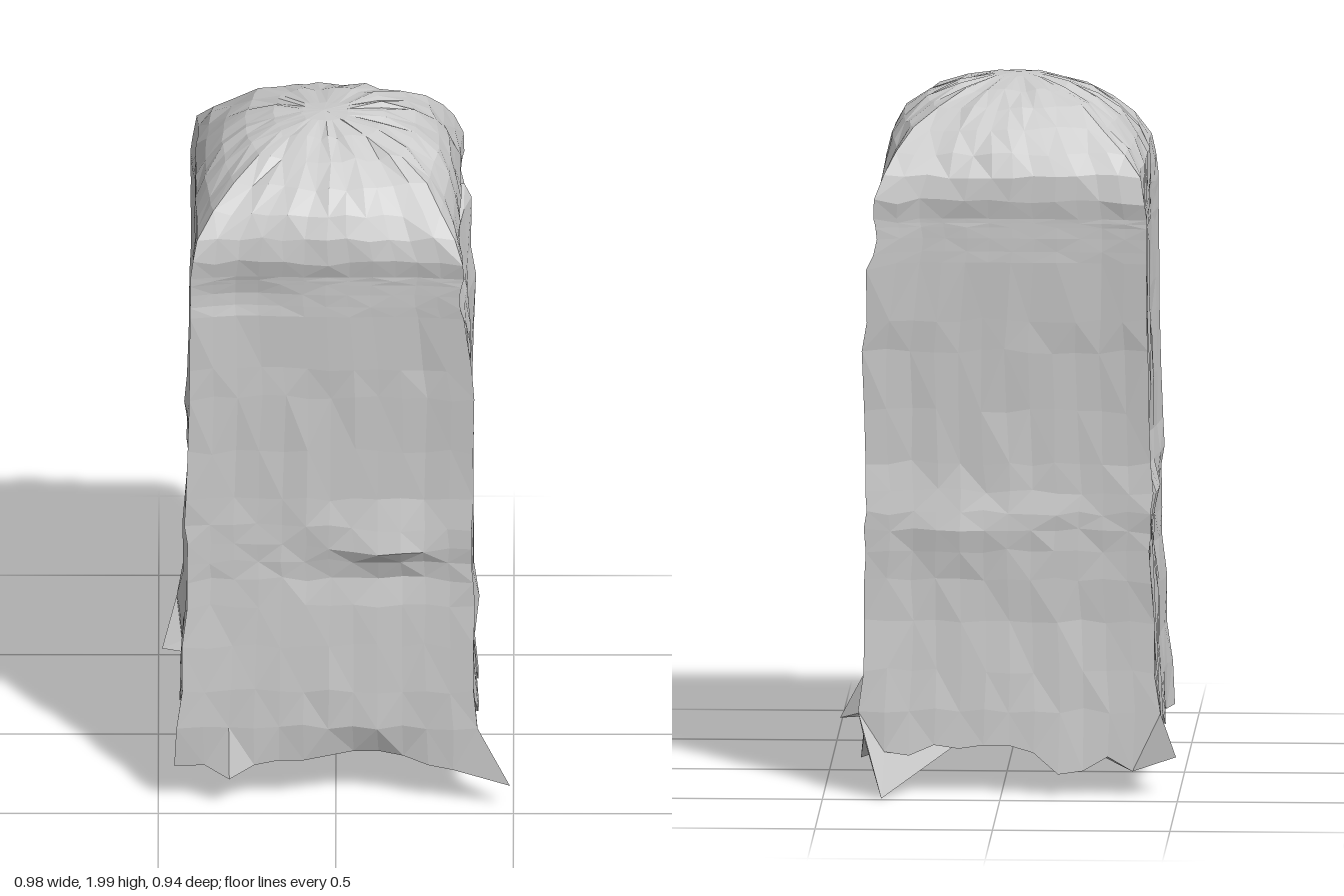
import * as THREE from 'three';

const N = 12; // columns per side
const material = new THREE.MeshStandardMaterial({ color: 0xcccccc, flatShading: true, side: THREE.DoubleSide });
const lerp = THREE.MathUtils.lerp;

// Repeatable noise in -1..1
const noise = (a, b) => {
  const v = Math.sin(a * 127.1 + b * 311.7) * 43758.5453;
  return (v - Math.floor(v)) * 2 - 1;
};

// Body outline per height: y, xMin, xMax, zMin, zMax
const lower = [
  [0.25, -0.445, 0.4, -0.405, 0.45], [0.36, -0.435, 0.39, -0.395, 0.445],
  [0.5, -0.43, 0.388, -0.385, 0.435], [0.62, -0.42, 0.388, -0.385, 0.425],
  [0.7, -0.417, 0.386, -0.385, 0.42], [0.76, -0.42, 0.384, -0.385, 0.42],
  [0.81, -0.42, 0.383, -0.385, 0.42], [0.87, -0.425, 0.383, -0.38, 0.42],
  [0.95, -0.42, 0.385, -0.375, 0.417], [1.1, -0.415, 0.39, -0.375, 0.415],
  [1.27, -0.41, 0.39, -0.38, 0.415], [1.36, -0.41, 0.38, -0.385, 0.415],
].map(([y, ...box]) => ({ y, box, round: 0 }));

// Rows across the slot: t runs lip to ceiling, depth is the push inward
const slot = [[0, 0], [0.25, 0.05], [0.55, 0.11], [0.8, 0.155], [0.9, 0.11], [1, 0]]
  .map(([t, depth]) => ({ t, depth, round: 0, box: [-0.41, 0.36 - 0.012 * Math.sin(t * Math.PI), -0.39, 0.42] }));

// Lid rows, corners rounding off towards the top
const dome = [
  [1.7, 0.05, -0.41, 0.365, -0.4, 0.43], [1.77, 0.2, -0.41, 0.352, -0.395, 0.425],
  [1.83, 0.4, -0.385, 0.335, -0.365, 0.4], [1.89, 0.6, -0.335, 0.305, -0.31, 0.345],
  [1.94, 0.75, -0.27, 0.24, -0.25, 0.27], [1.975, 0.85, -0.19, 0.15, -0.15, 0.19],
  [1.995, 0.9, -0.11, 0.05, -0.02, 0.12],
].map(([y, round, ...box]) => ({ y, box, round }));

const rows = [...lower, ...slot, ...dome];

// Dents and bulges: centre, radii, push
const dents = [
  [[0.14, 0.82, 0.42], [0.14, 0.06, 0.2], [0, -0.02, 0.035]],
  [[0.14, 0.72, 0.42], [0.14, 0.06, 0.2], [0, 0, -0.015]],
  [[-0.27, 1.58, 0.42], [0.14, 0.07, 0.2], [0, 0, -0.02]],
  [[-0.42, 0.8, 0.12], [0.14, 0.06, 0.15], [-0.02, 0, 0]],
  [[-0.42, 0.92, 0.12], [0.14, 0.06, 0.15], [0.03, 0, 0]],
  [[0.1, 0.76, -0.39], [0.2, 0.06, 0.25], [0, 0, -0.015]],
  [[0.37, 1.48, -0.39], [0.05, 0.08, 0.06], [0.03, -0.03, -0.01]],
];

// Ragged hem, one list per side starting at its first corner
const hemHeight = [
  [0.13, 0.13, 0.1, 0.13, 0.14, 0.14, 0.15, 0.16, 0.16, 0.15, 0.13, 0.12],
  [0.08, 0.12, 0.14, 0.06, 0.15, 0.16, 0.09, 0.08, 0.18, 0.09, 0.09, 0.16],
  [0.01, 0.13, 0.12, 0.15, 0.14, 0.15, 0.15, 0.13, 0.07, 0.08, 0.12, 0.08],
  [0.11, 0.14, 0.1, 0.16, 0.13, 0.09, 0.15, 0.12, 0.16, 0.11, 0.15, 0.13],
];
const hemCorners = [[-0.455, 0.44], [0.49, 0.465], [0.335, -0.48], [-0.49, -0.34]];
const hemSides = [0.435, 0.395, -0.4, -0.435]; // z, x, z, x of the four sides

function hemPoint(side, k) {
  const y = hemHeight[side][k];
  if (k === 0) return [hemCorners[side][0], y, hemCorners[side][1]];
  const a = lerp(-0.44, 0.4, k / N), b = lerp(0.43, -0.4, k / N);
  const s = hemSides[side] + Math.sign(hemSides[side]) * (0.13 - y) * (side === 0 ? 1 : 0.15);
  return [[a, y, s], [s, y, b], [-a - 0.04, y, s], [s, y, 0.03 - b]][side];
}

function wallPoint(row, r, side, k) {
  const [x0, x1, z0, z1] = row.box;
  const s = (k / N) * 2 - 1;
  const inset = Math.min(k, N - k, 2) * 0.007; // ridged corners
  const [u, v] = [[s, 1], [1, -s], [-s, -1], [-1, s]][side];
  let x = lerp(x0, x1, 0.5 + 0.5 * u * Math.sqrt(1 - row.round * v * v / 2));
  let z = lerp(z0, z1, 0.5 + 0.5 * v * Math.sqrt(1 - row.round * u * u / 2));
  if (side % 2) x -= u * inset;
  else z -= v * inset;
  let y = row.y;
  let rough = 0.004;
  if (row.t !== undefined) {
    // Curved slot opening on the +x side
    const w = side === 1 ? Math.min(1, Math.abs(z - 0.015) / 0.375) : 1;
    y = lerp(1.425 + 0.1 * w * w, 1.67 - 0.02 * w * w, row.t);
    x -= row.depth * Math.sqrt(Math.max(0, 1 - w ** 6));
    rough = 0.001;
  } else if (y < 1.98) {
    y += noise(side * N + k, r + 40) * 0.008;
  }
  x += noise(side * N + k, r) * rough;
  z += noise(side * N + k, r + 80) * rough;
  const p = [x, y, z];
  for (const [c, radius, push] of dents) {
    const d = c.reduce((sum, q, i) => sum + ((p[i] - q) / radius[i]) ** 2, 0);
    const f = Math.exp(-d);
    x += push[0] * f;
    y += push[1] * f;
    z += push[2] * f;
  }
  return [x, y, z];
}

// One closed loop of points around the four sides
function ring(pointAt) {
  const points = [];
  for (let side = 0; side < 4; side++)
    for (let k = 0; k < N; k++) points.push(pointAt(side, k));
  return points;
}

// Joins rings bottom to top; a single-point ring closes an end
function skin(rings, name) {
  const pos = [], idx = [], n = 4 * N;
  const starts = rings.map(points => {
    const start = pos.length / 3;
    points.forEach(p => pos.push(...p));
    return start;
  });
  for (let r = 0; r < rings.length - 1; r++) {
    const at = (q, i) => starts[q] + (rings[q].length === 1 ? 0 : i % n);
    for (let i = 0; i < n; i++) {
      const a = at(r, i), b = at(r, i + 1), c = at(r + 1, i + 1), d = at(r + 1, i);
      const split = (i + r) % 2 ? [a, b, c, a, c, d] : [a, b, d, b, c, d];
      for (let t = 0; t < 6; t += 3) {
        const [e, f, g] = split.slice(t, t + 3);
        if (e !== f && f !== g && g !== e) idx.push(e, f, g);
      }
    }
  }
  const geometry = new THREE.BufferGeometry();
  geometry.setAttribute('position', new THREE.Float32BufferAttribute(pos, 3));
  geometry.setIndex(idx);
  geometry.computeVertexNormals();
  const mesh = new THREE.Mesh(geometry, material);
  mesh.name = name;
  return mesh;
}

export function createModel() {
  const model = new THREE.Group();
  model.name = 'binWithDomedLid';
  const hem = ring(hemPoint);
  const walls = rows.map((row, r) => ring((side, k) => wallPoint(row, r, side, k)));
  const lidStart = lower.length + slot.length - 1; // ceiling edge of the slot
  model.add(
    skin([[[0, 0.19, 0]], hem], 'underside'),
    skin([hem, walls[0], walls[1]], 'raggedSkirt'),
    skin(walls.slice(1, lower.length + 1), 'body'),
    skin(walls.slice(lower.length, lidStart + 1), 'slot'),
    skin([...walls.slice(lidStart), [[-0.035, 2, 0.05]]], 'domedLid'),
  );
  return model;
}
